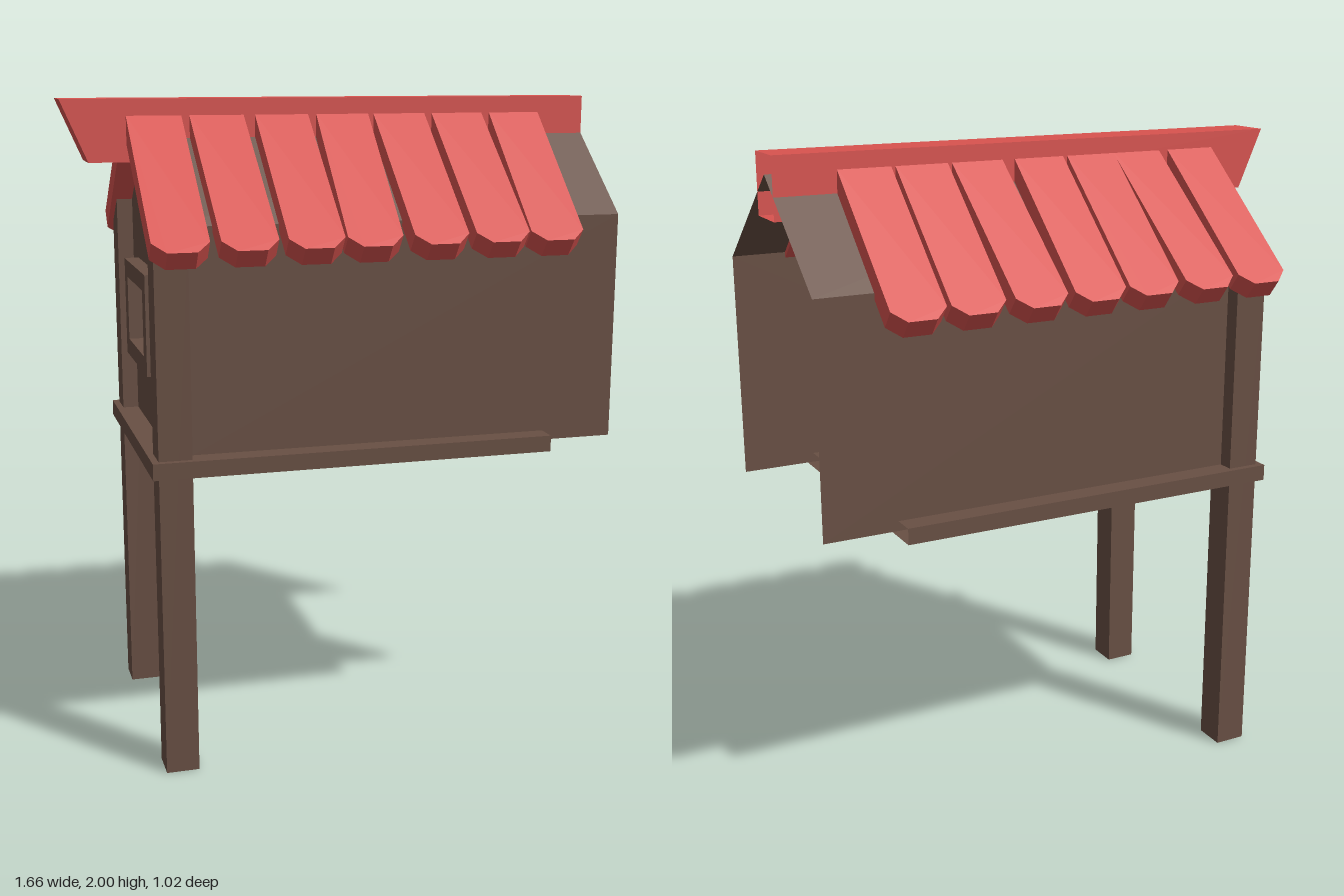
import * as THREE from 'three';

const wood = new THREE.MeshStandardMaterial({ color: 0x695044, side: THREE.DoubleSide });
wood.name = 'brown wood';
const paint = new THREE.MeshStandardMaterial({ color: 0xd9534f, side: THREE.DoubleSide });
paint.name = 'red paint';

const APEX = 1.94, SLOPE = 0.805, HALF = 0.36, BASE = 0.95;
const roofY = (z) => APEX - SLOPE * Math.abs(z);

// Box between two corners with one face left open (0 = +x, 3 = -y)
function openBox(min, max, openFace) {
  const geo = new THREE.BoxGeometry(max[0] - min[0], max[1] - min[1], max[2] - min[2]);
  geo.translate((min[0] + max[0]) / 2, (min[1] + max[1]) / 2, (min[2] + max[2]) / 2);
  geo.setIndex([...geo.index.array].filter((_, i) => Math.floor(i / 6) !== openFace));
  geo.clearGroups();
  return geo;
}

// Move every vertex by a rule
function reshape(geo, rule) {
  const p = geo.attributes.position;
  const v = new THREE.Vector3();
  for (let i = 0; i < p.count; i++) {
    rule(v.fromBufferAttribute(p, i));
    p.setXYZ(i, v.x, v.y, v.z);
  }
  geo.computeVertexNormals();
  return geo;
}

function rectPoints(w, h, cy) {
  return [[-w, cy - h], [w, cy - h], [w, cy + h], [-w, cy + h]].map(([x, y]) => new THREE.Vector2(x, y));
}

// Thin walls and roof swept along x from the house cross-section
function shellGeometry(x0, x1) {
  const section = [[HALF, BASE], [HALF, roofY(HALF)], [0, APEX], [-HALF, roofY(HALF)], [-HALF, BASE]];
  const pos = [];
  for (let i = 0; i < section.length - 1; i++) {
    const [za, ya] = section[i], [zb, yb] = section[i + 1];
    pos.push(x0, ya, za, x1, ya, za, x1, yb, zb, x0, ya, za, x1, yb, zb, x0, yb, zb);
  }
  const geo = new THREE.BufferGeometry();
  geo.setAttribute('position', new THREE.Float32BufferAttribute(pos, 3));
  geo.computeVertexNormals();
  return geo;
}

// Roof plank with clipped lower corners, leaning from xTop to xBottom
function plankGeometry(xTop, xBottom) {
  const w = 0.083, len = 0.572, cut = 0.04;
  const lean = (v) => xTop + (xBottom - xTop) * v / len;
  const outline = [[-w, 0], [-w, len - cut], [-w + cut, len], [w - cut, len], [w, len - cut], [w, 0]];
  const shape = new THREE.Shape(outline.map(([u, v]) => new THREE.Vector2(u + lean(v), -v)));
  return new THREE.ExtrudeGeometry(shape, { depth: 0.065, bevelEnabled: false });
}

export function createModel() {
  const model = new THREE.Group();
  model.name = 'stiltHouse';
  const add = (name, geo, mat, parent = model) => {
    const mesh = new THREE.Mesh(geo, mat);
    mesh.name = name;
    parent.add(mesh);
    return mesh;
  };

  // Posts, hollow below, tops cut to the roof slope
  for (const [name, z] of [['leftPost', 0.36], ['rightPost', -0.36]]) {
    const post = openBox([-0.62, 0, z - 0.05], [-0.52, 1.6, z + 0.05], 3);
    add(name, reshape(post, (v) => { if (v.y > 1) v.y = roofY(v.z); }), wood);
  }

  // Floor, open at the +x end
  add('floor', openBox([-0.64, 0.93, -0.43], [0.6, 0.98, 0.43], 0), wood);

  // Walls and roof
  add('wallsAndRoof', shellGeometry(-0.57, 0.83), wood);

  // End wall with a framed blind window
  const end = new THREE.Group();
  end.name = 'endWall';
  end.rotation.y = Math.PI / 2;
  model.add(end);
  const gable = new THREE.Shape([[-HALF, BASE], [HALF, BASE], [HALF, roofY(HALF)], [0, APEX], [-HALF, roofY(HALF)]]
    .map(([x, y]) => new THREE.Vector2(x, y)));
  gable.holes.push(new THREE.Path(rectPoints(0.205, 0.153, 1.342)));
  add('gable', new THREE.ShapeGeometry(gable), wood, end).position.z = -0.57;

  const frame = new THREE.Shape(rectPoints(0.205, 0.153, 1.342));
  frame.holes.push(new THREE.Path(rectPoints(0.15, 0.1, 1.342)));
  add('windowFrame', new THREE.ExtrudeGeometry(frame, { depth: 0.06, bevelEnabled: false }), wood, end)
    .position.z = -0.615;
  add('windowPane', new THREE.ShapeGeometry(new THREE.Shape(rectPoints(0.205, 0.153, 1.342))), wood, end)
    .position.z = -0.554;

  // Ridge beam, slanted at one end and open at the other
  const ridge = openBox([-0.83, 1.815, -0.07], [0.83, 2, 0.07], 0);
  add('ridgeBeam', reshape(ridge, (v) => { if (v.x < 0 && v.y < 1.9) v.x = -0.75; }), paint);

  // Roof planks: [x at the ridge, x at the eave]
  const sides = {
    frontPlanks: [[-0.553, -0.553], [-0.363, -0.355], [-0.162, -0.162], [0.03, 0.01], [0.213, 0.213],
      [0.403, 0.403], [0.595, 0.573]],
    backPlanks: [[-0.553, -0.553], [-0.355, -0.367], [-0.19, -0.172], [-0.01, 0.008], [0.197, 0.197],
      [0.376, 0.394], [0.555, 0.574]],
  };
  for (const [name, planks] of Object.entries(sides)) {
    const back = name === 'backPlanks';
    const group = new THREE.Group();
    group.name = name;
    if (back) group.rotation.y = Math.PI;
    model.add(group);
    const sign = back ? -1 : 1;
    planks.forEach(([top, bottom], i) => {
      const plank = add('roofPlank' + (i + 1), plankGeometry(sign * top, sign * bottom), paint, group);
      plank.position.set(0, 1.904, 0.024);
      plank.rotation.x = -0.892;
    });
  }
  return model;
}
